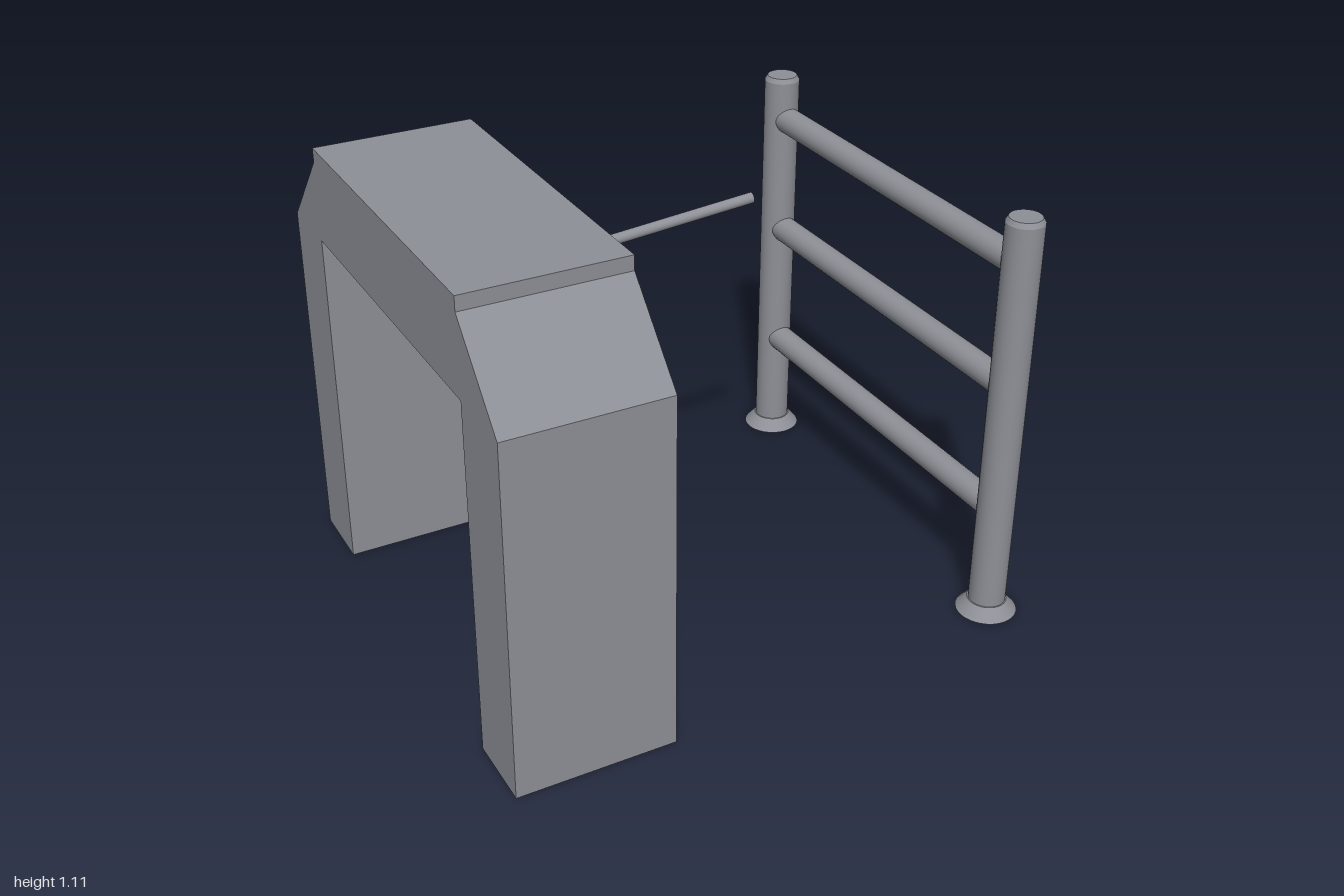
import * as THREE from 'three';

export function createModel() {
  const model = new THREE.Group();
  const steel = new THREE.MeshStandardMaterial({ color: 0x8e9097 });
  steel.name = 'grey steel';

  const add = (name, geometry, parent = model) => {
    const mesh = new THREE.Mesh(geometry, steel);
    mesh.name = name;
    parent.add(mesh);
    return mesh;
  };
  const polygon = (points) => new THREE.Shape(points.map(([x, y]) => new THREE.Vector2(x, y)));
  const extrude = (points, depth) =>
    new THREE.ExtrudeGeometry(polygon(points), { depth, bevelEnabled: false });
  const UP = new THREE.Vector3(0, 1, 0);

  // round bar between two points
  const bar = (name, a, b, radius, parent = model) => {
    const from = new THREE.Vector3(...a), to = new THREE.Vector3(...b);
    const dir = to.clone().sub(from);
    const mesh = add(name, new THREE.CylinderGeometry(radius, radius, dir.length(), 24), parent);
    mesh.position.copy(from).add(to).multiplyScalar(0.5);
    mesh.quaternion.setFromUnitVectors(UP, dir.normalize());
    return mesh;
  };

  // stack of cone sections with crisp edges; rings are [radius, height]
  const turned = (name, rings, parent = model) => {
    const group = new THREE.Group();
    group.name = name;
    for (let i = 1; i < rings.length; i++) {
      const [r0, y0] = rings[i - 1], [r1, y1] = rings[i];
      const open = rings.length > 2 && i > 1 && i < rings.length - 1;
      add(name + 'Section', new THREE.CylinderGeometry(r1, r0, y1 - y0, 32, 1, open), group)
        .position.y = (y0 + y1) / 2;
    }
    parent.add(group);
    return group;
  };

  // cabinet: two chamfered legs and a lintel with a slanted underside
  const cabinet = new THREE.Group();
  cabinet.name = 'cabinet';
  model.add(cabinet);
  for (const s of [1, -1]) {
    const leg = extrude([[0.42 * s, 0], [0.6 * s, 0], [0.6 * s, 0.88], [0.42 * s, 1.075]], 0.385);
    leg.rotateY(-Math.PI / 2).translate(0.02, 0, 0);
    add(s > 0 ? 'frontLeg' : 'backLeg', leg, cabinet);
  }
  const lintel = extrude(
    [[-0.365, 0.88], [-0.22, 0.88], [0.02, 1.01], [0.02, 1.11], [-0.365, 1.11]], 0.84);
  add('lintel', lintel.translate(0, 0, -0.42), cabinet);

  // rotating hub on the slanted face
  const tripod = new THREE.Group();
  tripod.name = 'tripod';
  model.add(tripod);
  const hub = turned('hub', [[0.115, -0.015], [0.128, 0.008], [0.1, 0.05], [0.047, 0.104]], tripod);
  hub.position.set(-0.08, 0.943, 0.008);
  hub.quaternion.setFromUnitVectors(UP, new THREE.Vector3(0.48, -0.88, 0).normalize());

  // three barrier arms
  bar('raisedArm', [-0.06, 0.919, 0.005], [0.53, 0.973, 0.016], 0.013, tripod);
  bar('frontLoweredArm', [-0.13, 0.89, 0.085], [-0.06, 0.414, 0.35], 0.013, tripod);
  bar('backLoweredArm', [-0.13, 0.89, -0.07], [-0.06, 0.416, -0.335], 0.013, tripod);

  // guard fence: posts with flared feet, joined by three rails
  const fence = new THREE.Group();
  fence.name = 'guardFence';
  model.add(fence);
  const frontZ = 0.515, backZ = -0.502;
  for (const z of [frontZ, backZ]) {
    turned('post', [[0.045, 0], [0.045, 1.028], [0.038, 1.04]], fence).position.set(0.924, 0, z);
    turned('postFoot', [[0.074, 0], [0.048, 0.03]], fence).position.set(0.924, 0, z);
  }
  for (const y of [0.925, 0.615, 0.284])
    bar('rail', [0.924, y, backZ], [0.924, y, frontZ], 0.034, fence);

  return model;
}
